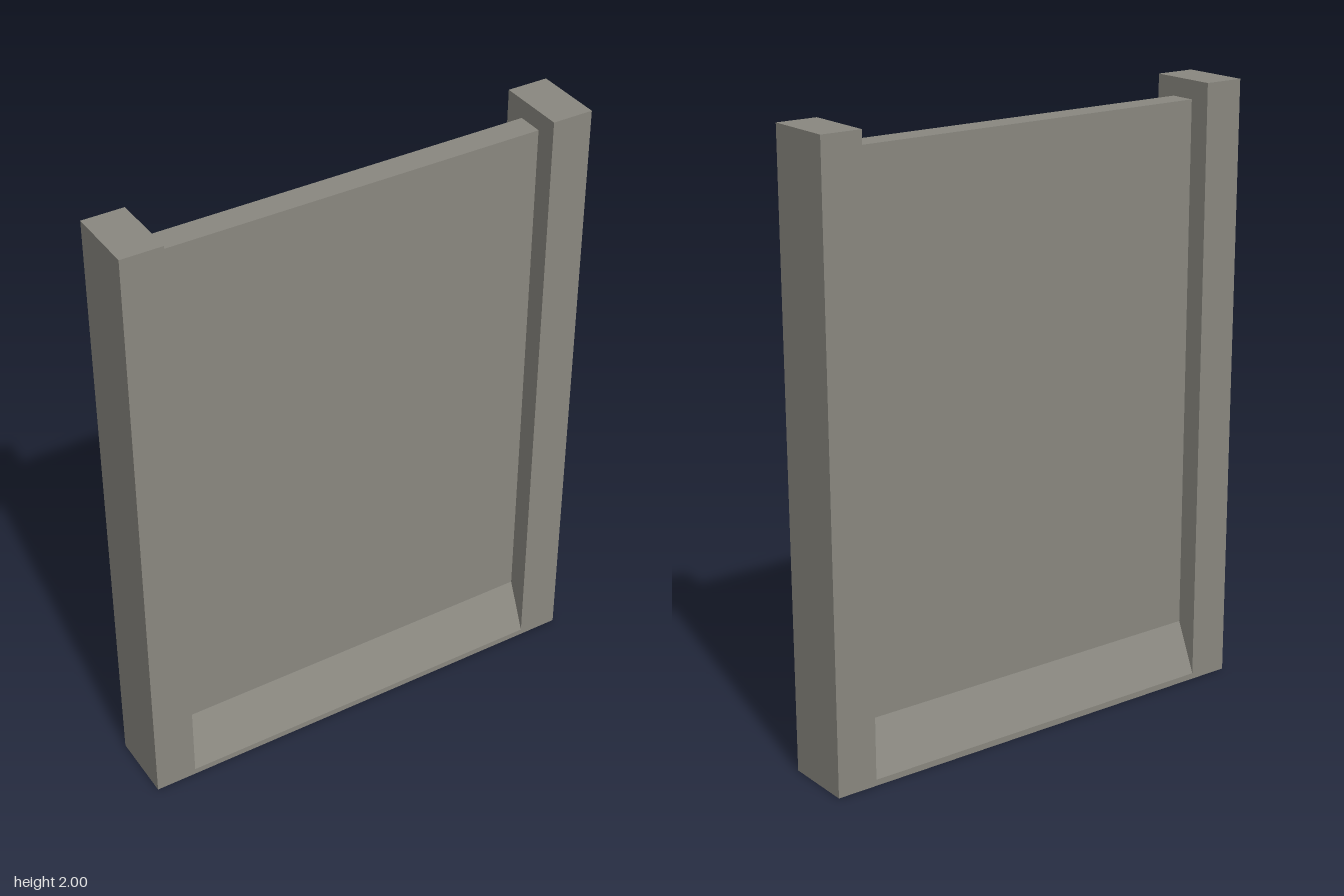
import * as THREE from 'three';

const HEIGHT = 2, DEPTH = 0.23;
const PANEL_HALF_WIDTH = 0.635, OUTER_HALF_WIDTH = 0.77;

export function createModel() {
  const group = new THREE.Group();
  group.name = 'wallPanel';
  const concrete = new THREE.MeshStandardMaterial({ color: 0x8a8880 });
  concrete.name = 'grey concrete';

  // Slab and flared foot share one cross-section (z, y), extruded along x
  const half = [[DEPTH / 2, 0], [DEPTH / 2, 0.02], [0.043, 0.185], [0.043, 1.94]];
  const outline = [...half, ...half.map(([z, y]) => [-z, y]).reverse()];
  const section = new THREE.Shape(outline.map(([z, y]) => new THREE.Vector2(z, y)));
  const slabGeometry = new THREE.ExtrudeGeometry(section, {
    depth: PANEL_HALF_WIDTH * 2, bevelEnabled: false,
  });
  slabGeometry.translate(0, 0, -PANEL_HALF_WIDTH);
  slabGeometry.rotateY(Math.PI / 2);
  const slab = new THREE.Mesh(slabGeometry, concrete);
  slab.name = 'slabWithFlaredFoot';
  group.add(slab);

  // Square posts at both ends
  const postWidth = OUTER_HALF_WIDTH - PANEL_HALF_WIDTH;
  const postGeometry = new THREE.BoxGeometry(postWidth, HEIGHT, DEPTH);
  for (const side of [-1, 1]) {
    const post = new THREE.Mesh(postGeometry, concrete);
    post.name = side > 0 ? 'leftPost' : 'rightPost';
    post.position.set(side * (PANEL_HALF_WIDTH + postWidth / 2), HEIGHT / 2, 0);
    group.add(post);
  }
  return group;
}
